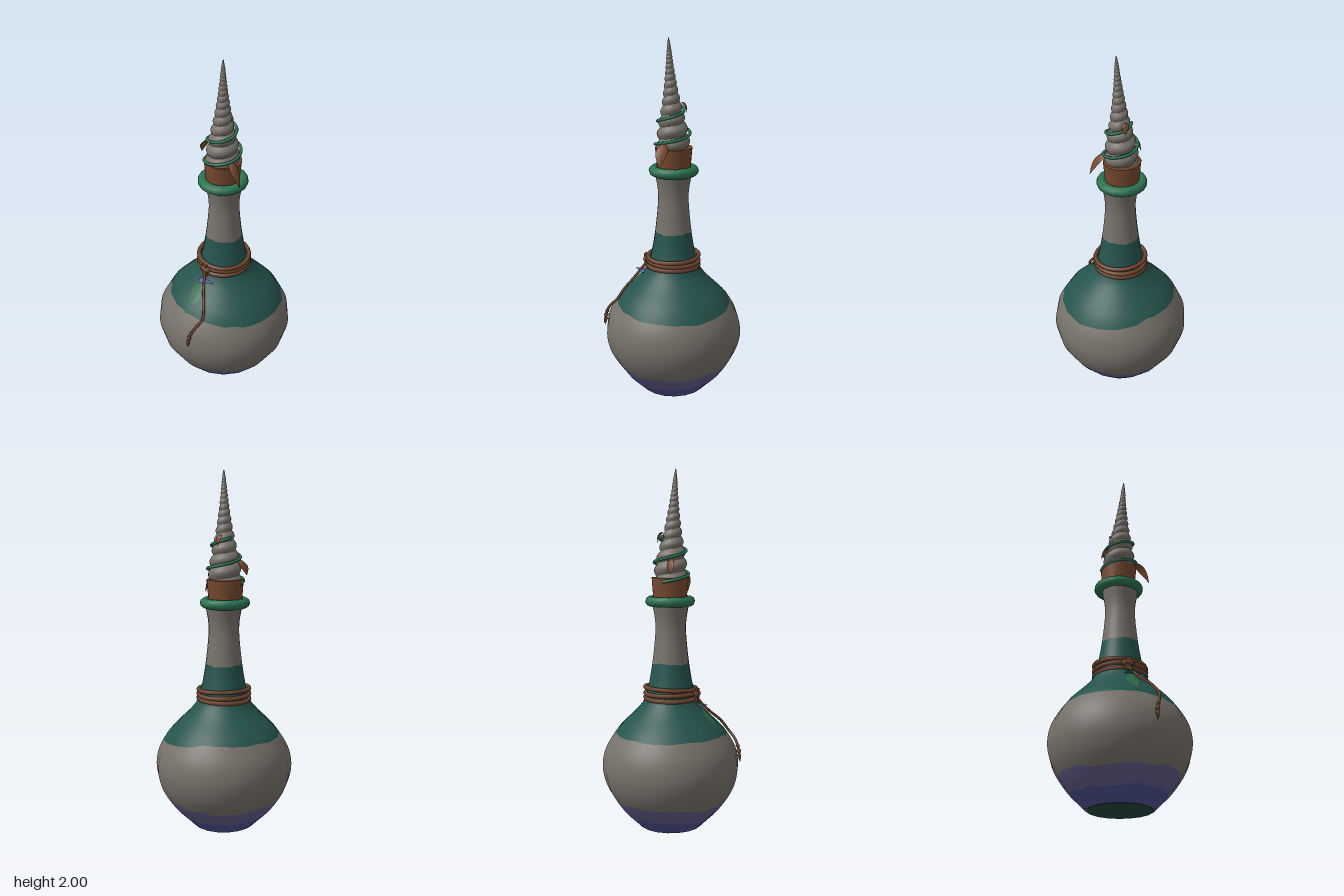
import * as THREE from 'three';
import { mergeVertices } from 'three/addons/utils/BufferGeometryUtils.js';

const mat = (name, color, side = THREE.FrontSide) => {
  const m = new THREE.MeshStandardMaterial({ color, side });
  m.name = name;
  return m;
};

// Radius by height, as a smooth lookup through a few points
function profile(points) {
  const pts = new THREE.SplineCurve(points.map(([r, y]) => new THREE.Vector2(r, y))).getPoints(120);
  return (y) => {
    let i = 1;
    while (i < pts.length - 1 && pts[i].y < y) i++;
    const a = pts[i - 1], b = pts[i];
    const t = THREE.MathUtils.clamp((y - a.y) / (b.y - a.y || 1), 0, 1);
    return a.x + (b.x - a.x) * t;
  };
}

// Grid bent by a rule: f(u, v) gives the point, v runs upward
function sheet(cols, rows, f) {
  const g = new THREE.PlaneGeometry(1, 1, cols, rows);
  const p = g.attributes.position;
  for (let i = 0; i < p.count; i++) p.setXYZ(i, ...f(p.getX(i) + 0.5, p.getY(i) + 0.5));
  g.deleteAttribute('uv');
  g.deleteAttribute('normal');
  const merged = mergeVertices(g, 1e-5);
  merged.computeVertexNormals();
  return merged;
}

const v3 = (a) => new THREE.Vector3(...a);
const tube = (points, radius, segs = 32) =>
  new THREE.TubeGeometry(new THREE.CatmullRomCurve3(points.map(v3)), segs, radius, 7, false);

export function createModel() {
  const group = new THREE.Group();
  const add = (name, geometry, material, pos = [0, 0, 0], rot = [0, 0, 0]) => {
    const mesh = new THREE.Mesh(geometry, material);
    mesh.name = name;
    mesh.position.set(...pos);
    mesh.rotation.set(...rot);
    group.add(mesh);
    return mesh;
  };

  const stone = mat('warm grey', 0x77726a);
  const teal = mat('deep teal', 0x25544d);
  const base = mat('dark green', 0x21483f, THREE.DoubleSide);
  const green = mat('ring green', 0x2c7351);
  const leafGreen = mat('painted leaf green', 0x2c6847);
  const brown = mat('cork brown', 0x77492f, THREE.DoubleSide);
  const rope = mat('rope brown', 0x6d452f);
  const violet = mat('violet', 0x605b88);
  const blue = mat('dusk blue', 0x4d5190);
  const lilac = mat('lilac', 0x706cbc);

  // Bottle body: eighteen-sided, divided into colour bands with wavy borders
  const bottleR = profile([
    [0.175, 0], [0.2, 0.025], [0.275, 0.1], [0.345, 0.2], [0.377, 0.28], [0.386, 0.36], [0.367, 0.45],
    [0.312, 0.545], [0.262, 0.6], [0.2, 0.66], [0.152, 0.72], [0.126, 0.8], [0.102, 0.94],
    [0.086, 1.1], [0.088, 1.18], [0.1, 1.25], [0.105, 1.28],
  ]);
  const step = Math.PI / 9, start = 0.13;
  const onBottle = (phi, y, lift = 0) => {
    const d = ((((phi - start) % step) + step) % step) - step / 2;
    const r = bottleR(y) * Math.cos(step / 2) / Math.cos(d) + lift;
    return [r * Math.sin(phi), y, r * Math.cos(phi)];
  };
  const wave = (phi, a) => a * (Math.sin(phi * 3) + 0.6 * Math.sin(phi * 7 + 1) + 0.4 * Math.sin(phi * 13));
  const borders = [
    () => 0,
    (p) => 0.075 + wave(p, 0.007),
    (p) => 0.165 + wave(p + 2, 0.008),
    (p) => 0.54 - 0.045 * Math.max(0, Math.cos(p - 1.9)) + wave(p + 1, 0.003),
    (p) => 0.935 + wave(p, 0.003),
    () => 1.28,
  ];
  const bands = [
    ['lowerBaseBand', blue], ['upperBaseBand', violet], ['bottleBelly', stone],
    ['shoulderBand', teal], ['bottleNeck', stone],
  ];
  bands.forEach(([name, material], i) => {
    const g = sheet(90, 14, (u, v) => {
      const phi = start + u * Math.PI * 2;
      const lo = borders[i](phi), hi = borders[i + 1](phi);
      return onBottle(phi, lo + (hi - lo) * v);
    });
    // Normals follow the profile so bands blend without a visible seam
    const p = g.attributes.position, n = g.attributes.normal, e = 0.012;
    for (let k = 0; k < p.count; k++) {
      const y = p.getY(k), phi = Math.atan2(p.getX(k), p.getZ(k));
      const y0 = Math.max(0, y - e), y1 = Math.min(1.28, y + e);
      const dir = new THREE.Vector3(Math.sin(phi), -(bottleR(y1) - bottleR(y0)) / (y1 - y0), Math.cos(phi)).normalize();
      n.setXYZ(k, dir.x, dir.y, dir.z);
    }
    add(name, g, material);
  });
  add('bottleBottom', new THREE.CircleGeometry(0.175, 18), base, [0, 0.001, 0], [Math.PI / 2, 0, 0]);
  add('bottleMouth', new THREE.RingGeometry(0.07, 0.11, 18), base, [0, 1.285, 0], [-Math.PI / 2, 0, 0]);

  // Painted leaf on the front of the shoulder, with a small spot below
  const spot = (name, y0, y1, width, x) => add(name, sheet(8, 10, (u, v) => {
    const y = y0 + (y1 - y0) * v;
    const w = width * Math.pow(Math.sin(Math.PI * (0.04 + 0.92 * v)), 0.8);
    return onBottle((x + (u - 0.5) * w) / bottleR(y), y, 0.004);
  }), leafGreen);
  spot('paintedLeaf', 0.585, 0.69, 0.08, 0.025);
  spot('paintedSpot', 0.535, 0.555, 0.025, 0.025);

  // Small flat tag below the knot, lilac above and green beneath
  const tag = [[-0.03, 0.695, 0.13], [0.02, 0.705, 0.22], [0.08, 0.7, 0.16], [0.06, 0.695, 0.115]];
  const plate = (idx) => {
    const g = new THREE.BufferGeometry().setFromPoints(tag.map(v3));
    g.setIndex(idx);
    g.computeVertexNormals();
    return g;
  };
  add('tagTop', plate([0, 1, 2, 0, 2, 3]), lilac);
  add('tagUnderside', plate([2, 1, 0, 3, 2, 0]), leafGreen);

  // Mouth ring and cork
  add('mouthRing', new THREE.TorusGeometry(0.111, 0.028, 10, 18), green, [-0.008, 1.28, 0], [Math.PI / 2, 0, 0]);
  add('cork', new THREE.CylinderGeometry(0.103, 0.09, 0.15, 20), brown, [-0.01, 1.335, 0], [0, 0, -0.02]);

  // Spiral shell stopper
  const hornR = profile([
    [0.098, 1.37], [0.095, 1.42], [0.086, 1.5], [0.072, 1.57], [0.06, 1.62], [0.048, 1.68],
    [0.036, 1.75], [0.022, 1.85], [0.011, 1.95], [0.002, 2],
  ]);
  add('spiralHorn', sheet(28, 230, (u, v) => {
    const phi = u * Math.PI * 2, y = 1.37 + 0.63 * v;
    const turns = -8.4 * Math.log(1 - 0.9 * v);
    const r = hornR(y) * (0.82 + 0.18 * Math.abs(Math.sin(Math.PI * (turns - u))));
    return [-0.01 + 0.028 * v + r * Math.sin(phi), y, 0.022 * v + r * Math.cos(phi)];
  }), stone);

  // Vine winding up the horn
  const vine = [];
  for (let i = 0; i <= 44; i++) {
    const t = i / 44, phi = -Math.PI / 2 + t * Math.PI * 3.9, y = 1.39 + 0.25 * t;
    const r = hornR(y) + 0.006;
    vine.push([-0.008 + 0.01 * t + r * Math.sin(phi), y, 0.008 * t + r * Math.cos(phi)]);
  }
  add('vine', tube(vine, 0.0085, 110), green);

  // Dry leaves: pointed ribbons drooping along a curve
  const leaf = (name, a, b, c, side, width) => {
    const curve = new THREE.QuadraticBezierCurve3(v3(a), v3(b), v3(c));
    add(name, sheet(4, 10, (u, v) => {
      const w = width * Math.sin(Math.PI * (0.03 + 0.95 * Math.pow(v, 0.85)));
      const cup = -0.25 * w * Math.pow(2 * u - 1, 2);
      return curve.getPoint(v).addScaledVector(v3(side), (u - 0.5) * w).add(new THREE.Vector3(0, cup, 0)).toArray();
    }), brown);
  };
  leaf('leftLeaf', [0.075, 1.45, 0.03], [0.13, 1.44, 0.035], [0.162, 1.325, 0.035], [0.2, 0, 0.98], 0.065);
  leaf('rightLeaf', [-0.075, 1.52, 0.04], [-0.115, 1.51, 0.045], [-0.12, 1.435, 0.05], [-0.3, 0, 0.95], 0.05);
  leaf('backLeaf', [-0.015, 1.655, -0.04], [-0.015, 1.67, -0.07], [-0.015, 1.6, -0.072], [1, 0, 0], 0.038);

  // Rope coils, knot and hanging tail with beads
  [[0.738, 0.01, 0.02], [0.765, -0.02, 0.0], [0.792, 0.02, -0.05]].forEach(([y, tx, tz], i) => {
    const coil = add('ropeCoil' + (i + 1), new THREE.TorusGeometry(0.143, 0.0125, 7, 22), rope, [0, y, 0]);
    coil.rotation.set(Math.PI / 2 + tx, tz, 0);
  });
  add('ropeKnot', new THREE.CapsuleGeometry(0.02, 0.03, 4, 8), rope, [0.012, 0.765, 0.15], [0, 0, Math.PI / 2]);
  add('knotWrap', new THREE.BoxGeometry(0.036, 0.075, 0.03), rope, [0.012, 0.758, 0.148]);
  add('ropeTail', tube([
    [0.01, 0.74, 0.155], [0.06, 0.665, 0.21], [0.115, 0.605, 0.258], [0.142, 0.55, 0.292],
    [0.13, 0.5, 0.34], [0.115, 0.45, 0.366], [0.11, 0.39, 0.376],
  ], 0.0075, 40), rope);
  [[0.118, 0.465, 0.36, 0.011], [0.113, 0.438, 0.368, 0.013], [0.11, 0.412, 0.372, 0.011]].forEach(([x, y, z, r], i) =>
    add('bead' + (i + 1), new THREE.SphereGeometry(r, 10, 8), rope, [x, y, z]));
  add('tailTip', new THREE.ConeGeometry(0.008, 0.035, 8), rope, [0.11, 0.387, 0.377], [Math.PI, 0, 0]);

  return group;
}
